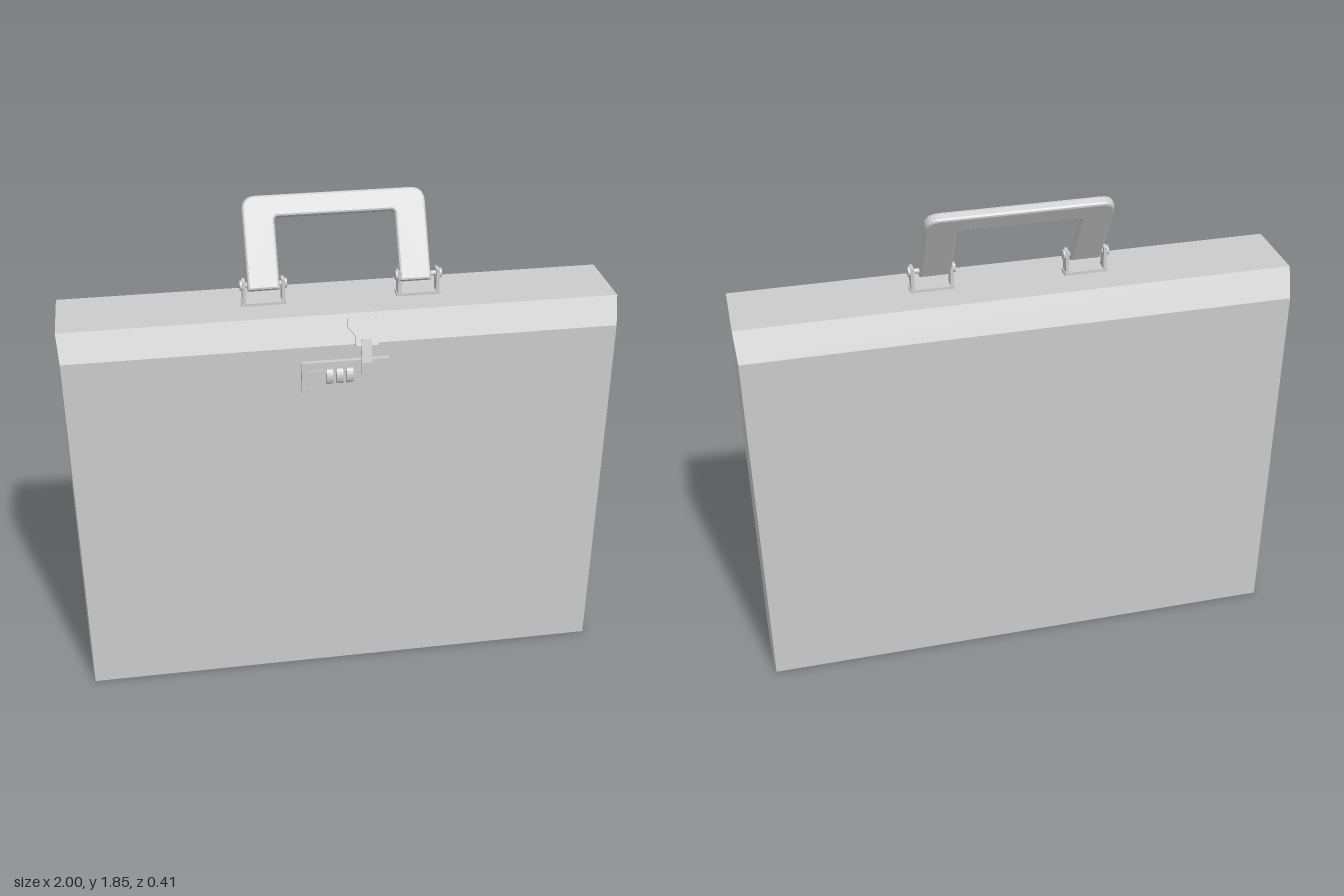
import * as THREE from 'three';

const material = new THREE.MeshStandardMaterial({ color: 0xcccccc, flatShading: true });

function add(parent, name, geometry, x = 0, y = 0, z = 0) {
  const mesh = new THREE.Mesh(geometry, material);
  mesh.name = name;
  mesh.position.set(x, y, z);
  parent.add(mesh);
  return mesh;
}

function box(parent, name, x0, x1, y0, y1, z0, z1) {
  return add(parent, name, new THREE.BoxGeometry(x1 - x0, y1 - y0, z1 - z0),
    (x0 + x1) / 2, (y0 + y1) / 2, (z0 + z1) / 2);
}

const shapeOf = (points) => new THREE.Shape(points.map(([x, y]) => new THREE.Vector2(x, y)));

// Extrudes a [z, y] side profile across x, centred on cx
function sideExtrude(points, width, cx = 0) {
  const g = new THREE.ExtrudeGeometry(shapeOf(points.map(([z, y]) => [-z, y])),
    { depth: width, bevelEnabled: false });
  return g.translate(0, 0, -width / 2).rotateY(Math.PI / 2).translate(cx, 0, 0);
}

// Panel whose ends draw in slightly toward its outer face
function panel(zJoint, zOuter, yShoulder) {
  const g = sideExtrude([[zJoint, 0], [zOuter, 0], [zOuter, yShoulder], [zJoint, 1.5]], 2);
  const p = g.attributes.position;
  for (let i = 0; i < p.count; i++) {
    if (Math.abs(p.getZ(i) - zOuter) < 1e-4) p.setX(i, Math.sign(p.getX(i)) * 0.993);
  }
  g.computeVertexNormals();
  return g;
}

function createLock() {
  const lock = new THREE.Group();
  lock.name = 'lock';
  box(lock, 'lockPlate', -0.16, 0.155, 1.222, 1.345, 0.165, 0.187);
  box(lock, 'lockButton', -0.14, -0.085, 1.262, 1.316, 0.18, 0.193);
  // Combination dials
  for (let i = 0; i < 3; i++) {
    const dial = new THREE.CylinderGeometry(0.03, 0.03, 0.024, 16).rotateZ(Math.PI / 2);
    dial.scale(1, 1, 0.7);
    add(lock, 'dial', dial, -0.061 + i * 0.036, 1.289, 0.184);
  }
  // Latch head lying on the sloped shoulder
  const head = new THREE.ExtrudeGeometry(shapeOf([
    [-0.065, 0.1], [-0.065, 0.07], [-0.04, 0.035], [-0.04, 0],
    [0.04, 0], [0.04, 0.035], [0.065, 0.07], [0.065, 0.1],
  ]), { depth: 0.014, bevelEnabled: false });
  add(lock, 'latchHead', head, 0.075, 1.393, 0.172).rotation.x = -Math.atan2(0.045, 0.1);
  // Hasp bending over the plate
  add(lock, 'latchHasp', sideExtrude([
    [0.17, 1.42], [0.176, 1.38], [0.19, 1.34], [0.192, 1.29],
    [0.203, 1.29], [0.203, 1.34], [0.189, 1.39], [0.18, 1.42],
  ], 0.037, 0.072));
  return lock;
}

function createHandle() {
  const handle = new THREE.Group();
  handle.name = 'handle';
  const w = 0.323, h = 0.32, r = 0.045, inner = 0.223, bar = 0.255;
  const s = new THREE.Shape();
  s.moveTo(-w, 0);
  s.lineTo(-w, h - r);
  s.quadraticCurveTo(-w, h, -w + r, h);
  s.lineTo(w - r, h);
  s.quadraticCurveTo(w, h, w, h - r);
  s.lineTo(w, 0);
  s.lineTo(inner, 0);
  s.lineTo(inner, bar - 0.012);
  s.lineTo(inner - 0.012, bar);
  s.lineTo(-inner + 0.012, bar);
  s.lineTo(-inner, bar - 0.012);
  s.lineTo(-inner, 0);
  s.closePath();
  const g = new THREE.ExtrudeGeometry(s, {
    depth: 0.018, bevelEnabled: true, bevelSize: 0.008, bevelThickness: 0.01,
    bevelOffset: -0.001, bevelSegments: 2, curveSegments: 6,
  });
  g.translate(0, 0, -0.009);
  add(handle, 'grip', g, 0.005, 1.561, 0.003).rotation.x = -Math.PI / 6;
  return handle;
}

// U-shaped mount with a pivot pin
function createBracket(cx) {
  const bracket = new THREE.Group();
  bracket.name = 'handleBracket';
  box(bracket, 'bracketBase', cx - 0.08, cx + 0.08, 1.495, 1.51, -0.03, 0.015);
  for (const side of [-1, 1]) {
    const x = cx + side * 0.07;
    box(bracket, 'bracketPost', x - 0.006, x + 0.006, 1.505, 1.592, -0.027, 0.012);
    const cap = new THREE.CylinderGeometry(0.018, 0.018, 0.01, 12).rotateZ(Math.PI / 2);
    add(bracket, 'pinHead', cap, cx + side * 0.079, 1.574, -0.007);
  }
  const pin = new THREE.CylinderGeometry(0.009, 0.009, 0.155, 12).rotateZ(Math.PI / 2);
  add(bracket, 'pivotPin', pin, cx, 1.574, -0.007);
  return bracket;
}

export function createModel() {
  const model = new THREE.Group();
  model.name = 'briefcase';

  // Case: middle frame with front and back shells
  box(model, 'caseFrame', -1, 1, 0, 1.5, -0.15, 0.125);
  add(model, 'frontShell', panel(0.125, 0.17, 1.4));
  add(model, 'backShell', panel(-0.15, -0.2, 1.395));

  model.add(createLock(), createHandle(), createBracket(-0.268), createBracket(0.292));
  return model;
}
